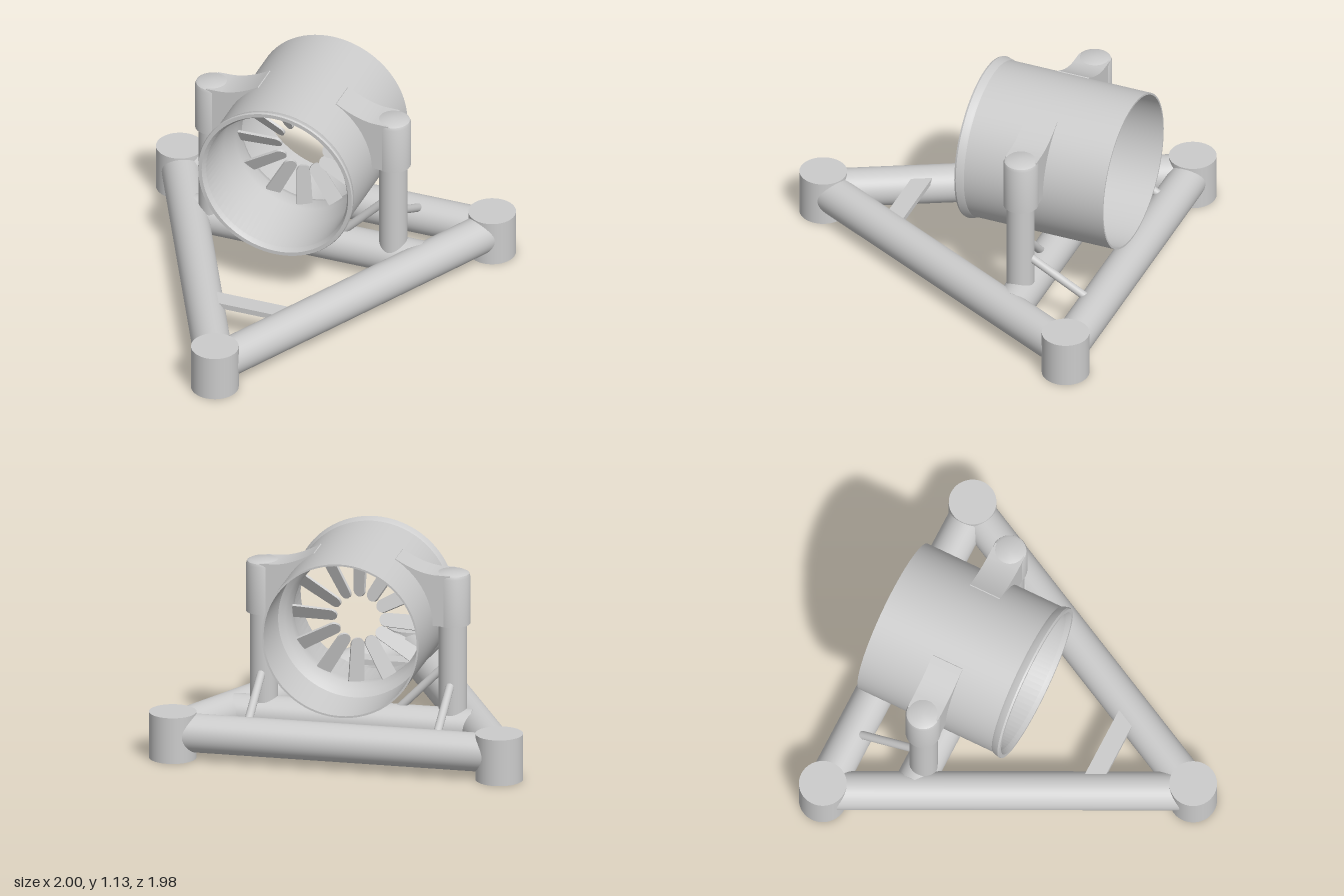
import * as THREE from 'three';
import { toCreasedNormals } from 'three/addons/utils/BufferGeometryUtils.js';

const grey = new THREE.MeshStandardMaterial({ color: 0xcccccc, side: THREE.DoubleSide });
const UP = new THREE.Vector3(0, 1, 0);
const CX = -0.025, CY = 0.7, MID = -0.45; // duct axis and mount plane

export function createModel() {
  const model = new THREE.Group();

  const add = (name, geometry, parent = model) => {
    const mesh = new THREE.Mesh(geometry, grey);
    mesh.name = name;
    parent.add(mesh);
    return mesh;
  };

  // Round bar between two points
  const bar = (name, a, b, radius, sides = 40) => {
    const start = new THREE.Vector3(...a), end = new THREE.Vector3(...b);
    const dir = end.clone().sub(start);
    const mesh = add(name, new THREE.CylinderGeometry(radius, radius, dir.length(), sides));
    mesh.position.copy(start).add(end).multiplyScalar(0.5);
    mesh.quaternion.setFromUnitVectors(UP, dir.normalize());
    return mesh;
  };

  // Corner posts: capped on top, open underneath
  const corners = [[-0.875, -0.867], [0.875, -0.867], [-0.01, 0.865]];
  for (const [x, z] of corners) {
    const post = new THREE.Group();
    post.name = 'cornerPost';
    post.position.set(x, 0, z);
    model.add(post);
    add('postWall', new THREE.CylinderGeometry(0.125, 0.125, 0.25, 48, 1, true).translate(0, 0.125, 0), post);
    add('postTop', new THREE.CircleGeometry(0.125, 48).rotateX(-Math.PI / 2).translate(0, 0.25, 0), post);
  }

  // Triangular base frame
  corners.forEach(([x, z], i) => {
    const [nx, nz] = corners[(i + 1) % 3];
    bar('baseTube', [x, 0.14, z], [nx, 0.14, nz], 0.102);
  });
  bar('crossTube', [-0.64, 0.14, -0.46], [0.64, 0.14, -0.46], 0.1);

  // Tie plate joining the two side tubes near the front
  const plate = new THREE.Shape([[-0.21, -0.33], [0.2, -0.33], [0.15, -0.43], [-0.165, -0.43]]
    .map(p => new THREE.Vector2(...p)));
  add('tiePlate', new THREE.ExtrudeGeometry(plate, { depth: 0.03, bevelEnabled: false })
    .rotateX(-Math.PI / 2).translate(0, 0.19, 0));

  // Duct: outer wall with front lip, then the bore narrowing to a throat
  const ductProfile = [
    [0.42, -0.88], [0.42, -0.095], [0.426, -0.085], [0.434, -0.055], [0.43, -0.045],
    [0.41, -0.045], [0.395, -0.07], [0.385, -0.3], [0.355, -0.4], [0.352, -0.48],
    [0.375, -0.53], [0.405, -0.56], [0.41, -0.88], [0.42, -0.88],
  ].map(p => new THREE.Vector2(...p));
  const duct = toCreasedNormals(new THREE.LatheGeometry(ductProfile, 80), 0.5);
  add('duct', duct.rotateX(Math.PI / 2).translate(CX, CY, 0));

  // Ring of pitched vanes with rounded inner tips
  const vaneShape = new THREE.Shape();
  vaneShape.moveTo(0.365, 0.042);
  vaneShape.lineTo(0.15, 0.036);
  vaneShape.absarc(0.15, 0, 0.036, Math.PI / 2, Math.PI * 1.5, false);
  vaneShape.lineTo(0.365, -0.042);
  const vaneGeometry = new THREE.ExtrudeGeometry(vaneShape, { depth: 0.014, bevelEnabled: false, curveSegments: 10 })
    .translate(0, 0, -0.007).rotateX(-0.5);
  const vanes = new THREE.Group();
  vanes.name = 'vaneRing';
  vanes.position.set(CX, CY, -0.445);
  model.add(vanes);
  for (let i = 0; i < 12; i++) {
    add('vane', vaneGeometry, vanes).rotation.z = 0.035 + i * Math.PI / 6;
  }

  // Mount arm outline: flat top sweeping up onto the duct, inner edge inside its wall
  const armShape = side => {
    const shape = new THREE.Shape();
    shape.moveTo(side * 0.51, 0.005);
    shape.lineTo(side * 0.51, 0.285);
    shape.lineTo(side * 0.425, 0.287);
    shape.quadraticCurveTo(side * 0.33, 0.295, side * 0.22, 0.363);
    for (let i = 0; i <= 10; i++) {
      const a = 1.03 - i * 0.1015;
      shape.lineTo(side * 0.408 * Math.cos(a), 0.408 * Math.sin(a) + 0.005);
    }
    return shape;
  };

  // Housing cap with a softened top edge
  const capProfile = [[0, 0.705], [0.0925, 0.705], [0.0925, 0.965], [0.087, 0.98], [0.072, 0.988], [0, 0.99]]
    .map(p => new THREE.Vector2(...p));
  const capGeometry = toCreasedNormals(new THREE.LatheGeometry(capProfile, 40), 0.6);

  // Uprights, housings, arms and braces on both sides
  for (const side of [-1, 1]) {
    const px = CX + side * 0.506;
    bar('upright', [px, 0.15, MID], [px, 0.75, MID], 0.074);
    add('mountCap', capGeometry).position.set(px, 0, MID - 0.003);
    const arm = new THREE.ExtrudeGeometry(armShape(side), { depth: 0.175, bevelEnabled: false, curveSegments: 16 });
    add('mountArm', toCreasedNormals(arm, 0.5)).position.set(CX, CY, MID - 0.0905);
    bar('sideBrace', [px - side * 0.01, 0.5, MID], [CX + side * 0.21, 0.21, MID], 0.022, 20);
    bar('rearBrace', [px, 0.4, -0.47], [px, 0.21, -0.82], 0.022, 20);
  }
  return model;
}
